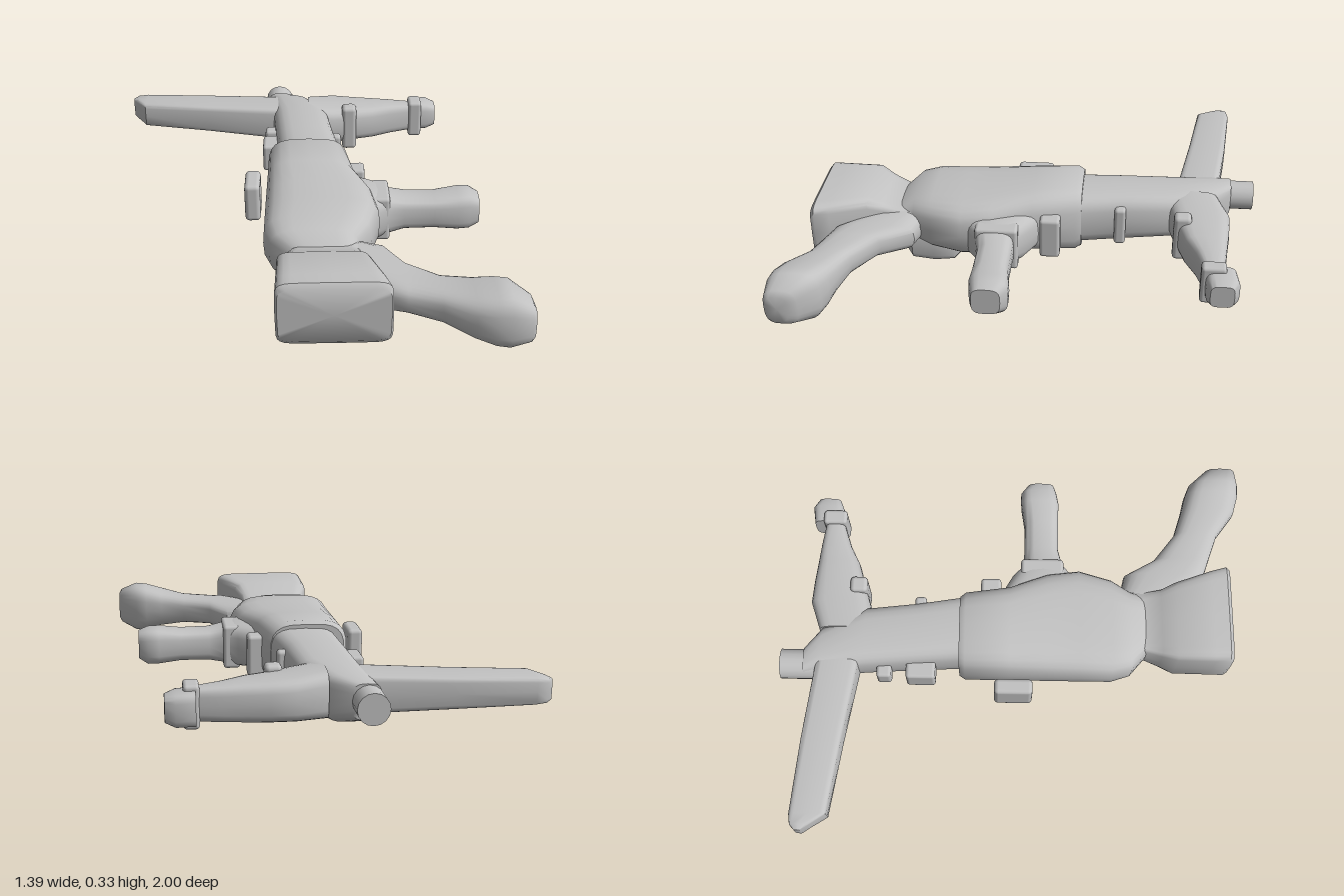
import * as THREE from 'three';
import { toCreasedNormals } from 'three/addons/utils/BufferGeometryUtils.js';
import { RoundedBoxGeometry } from 'three/addons/geometries/RoundedBoxGeometry.js';

const grey = new THREE.MeshStandardMaterial({ color: 0xc2c2c2 });
grey.name = 'plain grey';

// Rounded-rectangle loft. Local axes: x = forward, y = up, z = underside.
// Sections are [position, min, max, yMin, yMax], ascending along 'x' or 'z'.
function loft(name, axis, sections, power = 3.5, sides = 24) {
  const pos = [], index = [];
  const put = (along, across, y) => (axis === 'x' ? pos.push(along, y, across) : pos.push(across, y, along));
  const face = (a, b, c) => (axis === 'x' ? index.push(a, c, b) : index.push(a, b, c));
  const bend = (v) => Math.sign(v) * Math.pow(Math.abs(v), 2 / power);
  for (const [p, lo, hi, y0, y1] of sections) {
    for (let i = 0; i < sides; i++) {
      const f = (i / sides) * Math.PI * 2;
      put(p, (lo + hi) / 2 + bend(Math.cos(f)) * (hi - lo) / 2, (y0 + y1) / 2 + bend(Math.sin(f)) * (y1 - y0) / 2);
    }
  }
  const n = sections.length;
  for (let k = 0; k < n - 1; k++) {
    for (let i = 0; i < sides; i++) {
      const a = k * sides + i, b = k * sides + (i + 1) % sides;
      face(a, b, b + sides);
      face(a, b + sides, a + sides);
    }
  }
  // end caps
  for (const k of [0, n - 1]) {
    const [p, lo, hi, y0, y1] = sections[k], c = pos.length / 3;
    put(p, (lo + hi) / 2, (y0 + y1) / 2);
    for (let i = 0; i < sides; i++) {
      const a = k * sides + i, b = k * sides + (i + 1) % sides;
      if (k) face(c, a, b); else face(c, b, a);
    }
  }
  const g = new THREE.BufferGeometry();
  g.setAttribute('position', new THREE.Float32BufferAttribute(pos, 3));
  g.setIndex(index);
  const mesh = new THREE.Mesh(toCreasedNormals(g, 0.8), grey);
  mesh.name = name;
  return mesh;
}

// Softened box given by its extents
function box(name, x0, x1, y0, y1, z0, z1, r = 0.012) {
  const mesh = new THREE.Mesh(new RoundedBoxGeometry(x1 - x0, y1 - y0, z1 - z0, 2, r), grey);
  mesh.position.set((x0 + x1) / 2, (y0 + y1) / 2, (z0 + z1) / 2);
  mesh.name = name;
  return mesh;
}

export function createModel() {
  const model = new THREE.Group();
  model.name = 'model';
  const body = new THREE.Group();
  body.name = 'assembly';
  body.rotation.y = Math.atan2(0.76, 0.65);
  model.add(body);

  body.add(
    // shoulder stock narrowing into the neck
    loft('stock', 'x', [
      [-0.808, -0.215, 0.118, 0.105, 0.285], [-0.795, -0.222, 0.124, 0.09, 0.3], [-0.745, -0.221, 0.11, 0.09, 0.3],
      [-0.62, -0.219, 0.065, 0.092, 0.298], [-0.57, -0.2, 0.045, 0.115, 0.27], [-0.51, -0.178, 0.038, 0.13, 0.25],
      [-0.43, -0.19, 0.04, 0.13, 0.25]], 8),
    // main housing
    loft('housing', 'x', [
      [-0.52, -0.18, 0.03, 0.13, 0.25], [-0.465, -0.245, 0.04, 0.115, 0.285], [-0.4, -0.266, 0.08, 0.105, 0.298],
      [-0.29, -0.266, 0.112, 0.1, 0.303], [-0.18, -0.265, 0.097, 0.095, 0.31], [-0.05, -0.263, 0.045, 0.085, 0.32],
      [0.1, -0.262, 0.02, 0.08, 0.328], [0.12, -0.25, 0.005, 0.09, 0.318]], 3.5),
    // front housing around the barrel
    loft('foreEnd', 'x', [
      [0.08, -0.226, 0.01, 0.11, 0.305], [0.26, -0.236, -0.02, 0.115, 0.302], [0.44, -0.249, -0.04, 0.125, 0.295],
      [0.585, -0.264, -0.11, 0.13, 0.285], [0.645, -0.274, -0.182, 0.155, 0.27]], 3.5),
    // upper slab with a slanted, rounded tip
    loft('upperSlab', 'z', [
      [-0.803, 0.615, 0.635, 0.195, 0.262], [-0.785, 0.59, 0.652, 0.188, 0.268], [-0.75, 0.535, 0.657, 0.183, 0.272],
      [-0.5, 0.5, 0.635, 0.17, 0.275], [-0.25, 0.46, 0.605, 0.155, 0.28], [-0.18, 0.46, 0.6, 0.155, 0.28]], 7),
    // forward lower arm, tapering to a knob
    loft('lowerArm', 'z', [
      [-0.12, 0.41, 0.6, 0.135, 0.29], [-0.02, 0.43, 0.635, 0.14, 0.28], [0.06, 0.455, 0.63, 0.14, 0.272],
      [0.13, 0.475, 0.622, 0.142, 0.268], [0.2, 0.51, 0.615, 0.145, 0.262], [0.29, 0.54, 0.602, 0.15, 0.255]], 4),
    box('armCollar', 0.528, 0.61, 0.13, 0.27, 0.272, 0.322),
    loft('armKnob', 'z', [
      [0.285, 0.54, 0.645, 0.145, 0.255], [0.345, 0.545, 0.654, 0.147, 0.253], [0.378, 0.558, 0.636, 0.16, 0.24]], 4),
    // hand grip with a collar at its root
    loft('grip', 'z', [
      [0.03, -0.3, -0.02, 0.11, 0.27], [0.1, -0.27, -0.06, 0.11, 0.265], [0.14, -0.235, -0.1, 0.115, 0.255],
      [0.2, -0.22, -0.1, 0.128, 0.242], [0.3, -0.22, -0.1, 0.13, 0.24], [0.38, -0.222, -0.088, 0.122, 0.25],
      [0.42, -0.215, -0.087, 0.122, 0.25], [0.452, -0.205, -0.11, 0.14, 0.235]], 3.5),
    box('gripCollar', -0.235, -0.088, 0.105, 0.262, 0.09, 0.15),
    // curved rear horn with flared end
    loft('rearHorn', 'z', [
      [0.02, -0.6, -0.43, 0.13, 0.245], [0.11, -0.73, -0.45, 0.135, 0.24], [0.17, -0.75, -0.555, 0.14, 0.235],
      [0.27, -0.785, -0.632, 0.13, 0.235], [0.36, -0.85, -0.66, 0.11, 0.25], [0.42, -0.866, -0.675, 0.09, 0.265],
      [0.46, -0.868, -0.69, 0.085, 0.268], [0.52, -0.862, -0.75, 0.11, 0.24], [0.53, -0.852, -0.78, 0.125, 0.22]], 3.2),
    // pad and block on the lower side
    loft('sidePad', 'x', [
      [-0.51, -0.15, -0.04, 0.025, 0.14], [-0.49, -0.175, -0.015, 0.008, 0.14], [-0.41, -0.18, -0.012, 0.0, 0.14],
      [-0.34, -0.175, -0.015, 0.008, 0.14], [-0.315, -0.15, -0.04, 0.03, 0.14]], 4.5),
    box('sideBlock', -0.2, -0.085, 0.03, 0.13, -0.11, -0.045),
    box('sidePlate', -0.04, 0.12, 0.066, 0.12, -0.135, -0.065),
    // rear sight block and small lugs along the top
    box('sightBlock', -0.13, 0.0, 0.125, 0.26, -0.338, -0.285, 0.015),
    box('topLug', 0.2, 0.3, 0.15, 0.25, -0.285, -0.2),
    box('topLug', 0.35, 0.4, 0.16, 0.24, -0.28, -0.2),
    // lugs on the underside
    box('lowerLug', -0.02, 0.05, 0.11, 0.26, 0.0, 0.075),
    box('lowerLug', 0.235, 0.275, 0.13, 0.27, -0.06, 0.0),
    // pin through the arm
    box('armPin', 0.44, 0.5, 0.12, 0.29, 0.01, 0.065, 0.015),
  );

  // muzzle tube
  const muzzle = new THREE.Mesh(new THREE.CylinderGeometry(0.051, 0.051, 0.19, 16), grey);
  muzzle.rotation.z = Math.PI / 2;
  muzzle.position.set(0.63, 0.215, -0.233);
  muzzle.name = 'muzzle';
  body.add(muzzle);

  return model;
}
